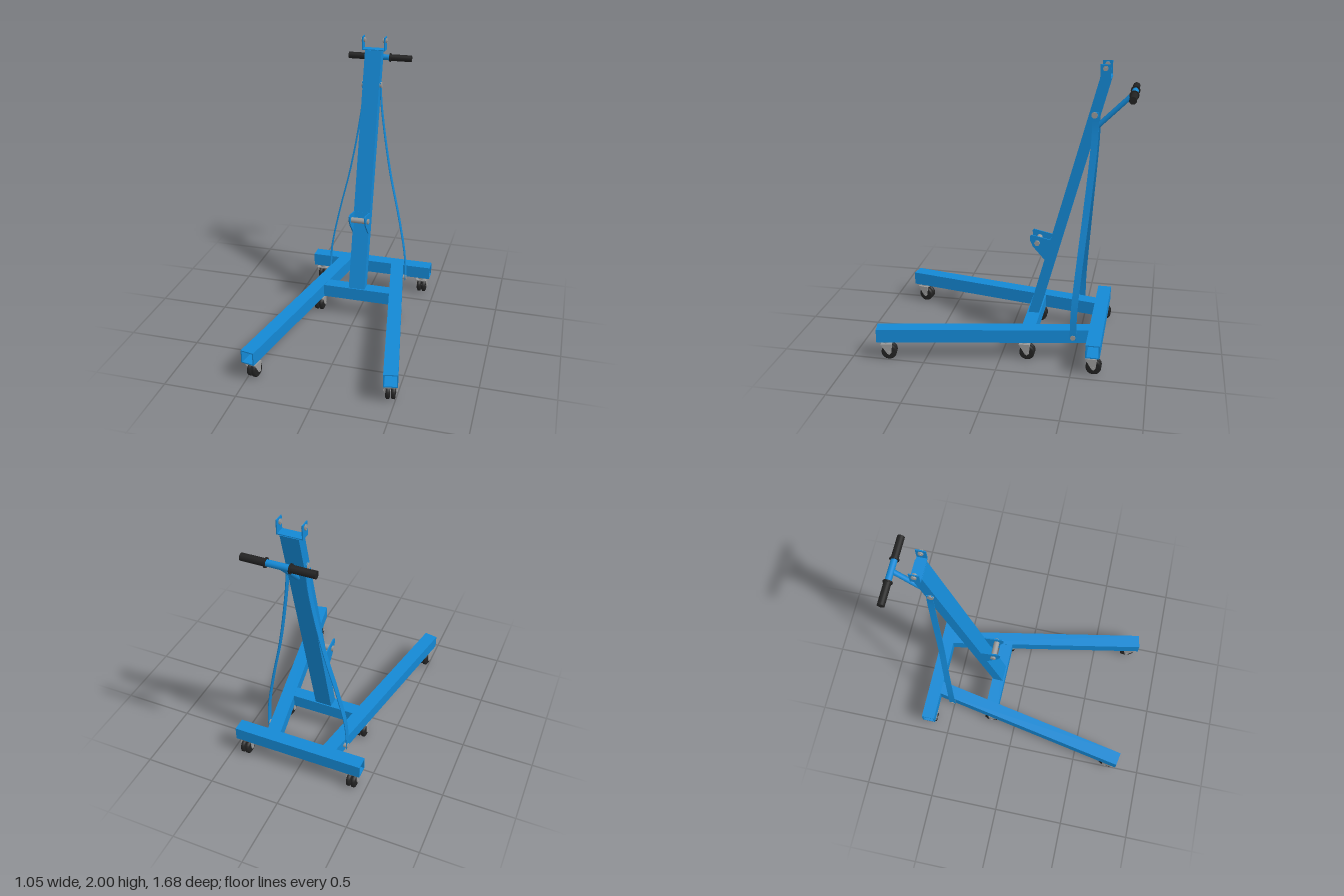
import * as THREE from 'three';

const paint = (color) => new THREE.MeshStandardMaterial({ color, side: THREE.DoubleSide });
const blue = paint(0x1488d4), black = paint(0x222222), steel = paint(0x999999);

function add(parent, name, geometry, material, x = 0, y = 0, z = 0) {
  const mesh = new THREE.Mesh(geometry, material);
  mesh.name = name;
  mesh.position.set(x, y, z);
  parent.add(mesh);
  return mesh;
}

// Open rectangular tube, running from z = 0 to z = length
function tube(w, h, length, wall = 0.008) {
  const rect = (P, a, b) => new P([[-a, -b], [a, -b], [a, b], [-a, b]].map((p) => new THREE.Vector2(...p)));
  const shape = rect(THREE.Shape, w / 2, h / 2);
  shape.holes.push(rect(THREE.Path, w / 2 - wall, h / 2 - wall));
  return new THREE.ExtrudeGeometry(shape, { depth: length, bevelEnabled: false });
}

// Move every vertex of a geometry by a rule
function reshape(geometry, rule) {
  const pos = geometry.attributes.position, v = new THREE.Vector3();
  for (let i = 0; i < pos.count; i++) {
    rule(v.fromBufferAttribute(pos, i));
    pos.setXYZ(i, v.x, v.y, v.z);
  }
  geometry.computeVertexNormals();
  return geometry;
}

const rod = (r, length, sides = 20) => new THREE.CylinderGeometry(r, r, length, sides).rotateZ(Math.PI / 2);

// Side plate from [z, y] points, centred on x = 0
function plate(points, thickness) {
  const shape = new THREE.Shape(points.map(([z, y]) => new THREE.Vector2(-z, y)));
  return new THREE.ExtrudeGeometry(shape, { depth: thickness, bevelEnabled: false })
    .translate(0, 0, -thickness / 2).rotateY(Math.PI / 2);
}

// Swivel caster with twin wheels trailing behind the pivot
function caster(parent, x, z, turn) {
  const g = new THREE.Group();
  g.name = 'caster';
  g.position.set(x, 0, z);
  g.rotation.y = turn;
  parent.add(g);
  add(g, 'swivelStem', new THREE.CylinderGeometry(0.026, 0.026, 0.022, 20), steel, 0, 0.126, 0);
  add(g, 'forkTop', new THREE.BoxGeometry(0.078, 0.008, 0.075), steel, 0, 0.113, -0.004);
  const cheek = plate([[0.036, 0.117], [-0.044, 0.117], [-0.036, 0.05], [-0.022, 0.036], [-0.008, 0.044]], 0.004);
  for (const s of [-1, 1]) {
    add(g, 'forkCheek', cheek, steel, s * 0.039, 0, 0);
    const wheel = new THREE.LatheGeometry(
      [[0, -0.015], [0.042, -0.015], [0.052, -0.009], [0.052, 0.009], [0.042, 0.015], [0, 0.015]]
        .map((p) => new THREE.Vector2(...p)), 28).rotateZ(Math.PI / 2);
    add(g, 'wheel', wheel, black, s * 0.018, 0.052, -0.02);
  }
  add(g, 'axle', rod(0.009, 0.09, 12), steel, 0, 0.052, -0.02);
}

export function createModel() {
  const model = new THREE.Group();
  model.name = 'liftStand';

  // Base frame
  const rear = add(model, 'rearBar', tube(0.095, 0.095, 0.93), blue, -0.465, 0.183, -0.642);
  rear.rotation.y = Math.PI / 2;
  add(model, 'crossBar', new THREE.BoxGeometry(0.5, 0.093, 0.092), blue, 0, 0.183, -0.185);
  const splay = 0.186;
  for (const s of [-1, 1]) {
    // The rear end is mitred to sit flat against the rear bar
    const legTube = reshape(tube(0.095, 0.095, 1.45), (v) => {
      if (v.z < 0.01) v.z = v.x * Math.tan(s * splay);
    });
    const leg = add(model, 'leg', legTube, blue, s * 0.21, 0.183, -0.595);
    leg.rotation.y = s * splay;
    caster(model, s * 0.467, 0.77, s * splay);
    caster(model, s * 0.292, -0.162, 0);
    caster(model, s * 0.402, -0.628, 0);
  }

  // Leaning mast, cut level at both ends
  const mast = reshape(tube(0.12, 0.074, 1.68).rotateX(-Math.PI / 2), (v) => {
    v.z -= v.y * 0.2645;
  });
  add(model, 'mast', mast, blue, 0, 0.228, -0.185);

  // Top yoke
  add(model, 'yokeBase', new THREE.BoxGeometry(0.166, 0.007, 0.066), blue, 0, 1.91, -0.628);
  for (const s of [-1, 1]) {
    add(model, 'yokeEar', new THREE.BoxGeometry(0.007, 0.093, 0.066), blue, s * 0.08, 1.9535, -0.628);
    add(model, 'yokeBolt', rod(0.009, 0.035, 12), steel, s * 0.078, 1.975, -0.628);
    add(model, 'yokeBoltHead', rod(0.018, 0.01, 6), steel, s * 0.088, 1.975, -0.628);
    add(model, 'yokeNut', rod(0.018, 0.01, 6), steel, s * 0.07, 1.975, -0.628);
  }

  // Ram bracket and pin
  const ear = plate([[-0.165, 0.815], [-0.154, 0.805], [-0.156, 0.77], [-0.175, 0.73],
    [-0.253, 0.642], [-0.27, 0.642], [-0.305, 0.785]], 0.008);
  for (const s of [-1, 1]) {
    add(model, 'ramBracketEar', ear, blue, s * 0.057, 0, 0);
    add(model, 'ramPinHead', rod(0.02, 0.013, 6), steel, s * 0.069, 0.76, -0.205);
  }
  const web = add(model, 'ramBracketWeb', new THREE.BoxGeometry(0.118, 0.15, 0.008), blue, 0, 0.714, -0.278);
  web.rotation.x = -0.258;
  add(model, 'ramPin', rod(0.02, 0.108), steel, 0, 0.76, -0.205);

  // Curved flat stays from the mast down to the legs
  for (const s of [-1, 1]) {
    const path = new THREE.CatmullRomCurve3([
      [0.298, 0.165, -0.493], [0.297, 0.24, -0.493], [0.284, 0.4, -0.496], [0.23, 0.68, -0.515],
      [0.152, 1.02, -0.541], [0.09, 1.38, -0.567], [0.067, 1.57, -0.575], [0.065, 1.69, -0.57],
    ].map(([x, y, z]) => new THREE.Vector3(s * x, y, z)));
    const stay = reshape(new THREE.BoxGeometry(0.005, 1, 0.044, 1, 40, 1), (v) => {
      v.add(path.getPoint(v.y + 0.5).setY(path.getPoint(v.y + 0.5).y - v.y));
    });
    add(model, 'stay', stay, blue);
    add(model, 'stayLowerBolt', rod(0.018, 0.04, 12), steel, s * 0.285, 0.185, -0.493);
    add(model, 'stayUpperBolt', rod(0.021, 0.014, 16), steel, s * 0.066, 1.67, -0.567);
  }

  // Push handle
  const stem = add(model, 'handleStem', new THREE.CylinderGeometry(0.017, 0.017, 0.33, 16), blue, 0, 1.693, -0.693);
  stem.rotation.x = -Math.PI / 4;
  add(model, 'handleBar', rod(0.021, 0.17), blue, 0, 1.81, -0.812);
  for (const s of [-1, 1]) {
    add(model, 'grip', rod(0.024, 0.157), black, s * 0.156, 1.81, -0.812);
    add(model, 'gripFlange', rod(0.031, 0.009), black, s * 0.077, 1.81, -0.812);
  }
  return model;
}
